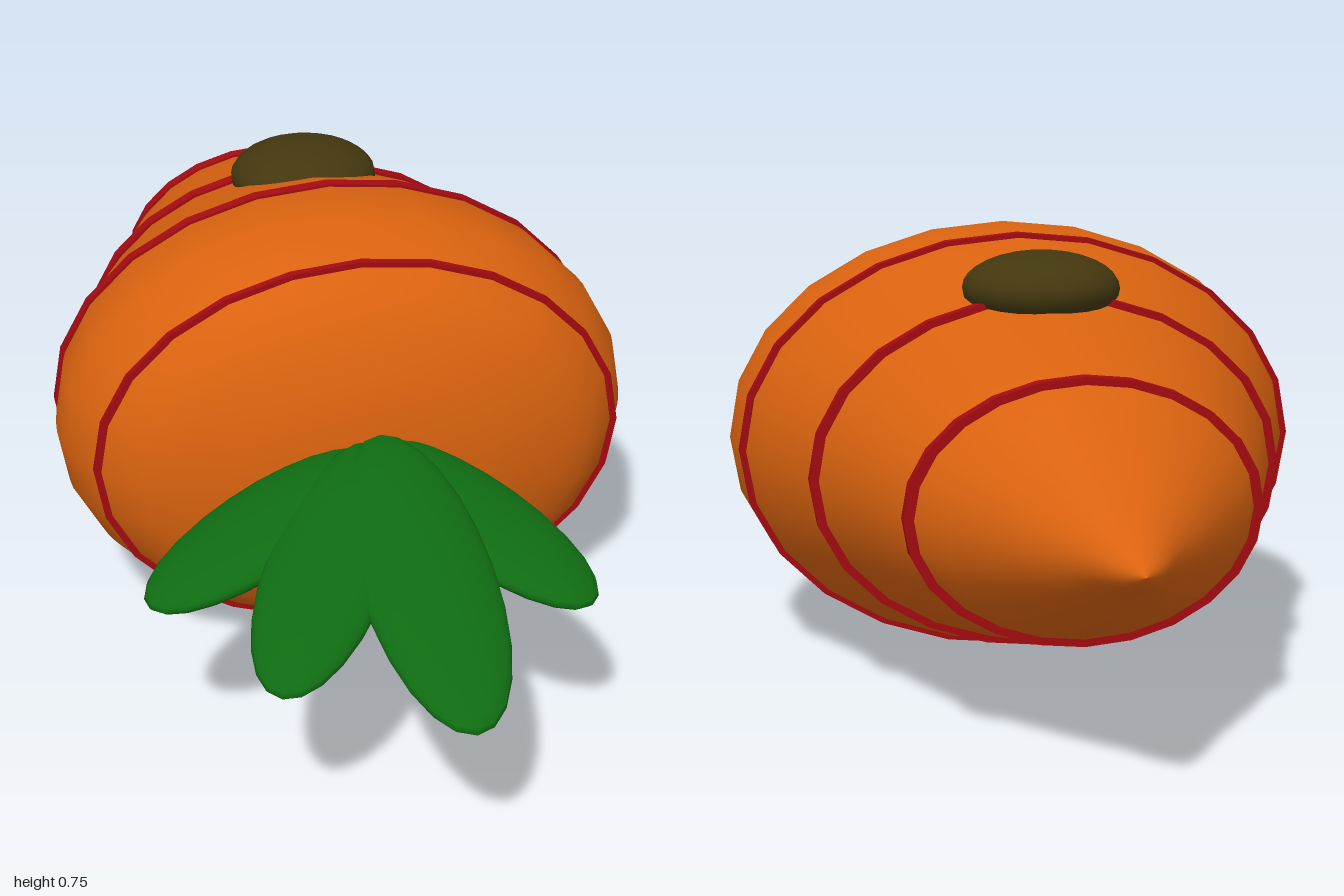
import * as THREE from 'three';

const SIDES = 24;
const CENTRE_Y = 0.377;
const SQUASH = 0.752; // body is wider than it is tall

function material(name, color) {
  const m = new THREE.MeshStandardMaterial({ color });
  m.name = name;
  return m;
}

// Lathe laid along z and flattened in y; points are (radius, z)
function squashedLathe(points) {
  const g = new THREE.LatheGeometry(points, SIDES);
  g.rotateX(Math.PI / 2);
  g.scale(1, SQUASH, 1);
  g.translate(0, CENTRE_Y, 0);
  return g;
}

export function createModel() {
  const model = new THREE.Group();
  model.name = 'carrot';
  const orange = material('carrot orange', 0xd9620f);
  const red = material('dark red', 0xa30b10);
  const green = material('leaf green', 0x0f6b12);
  const olive = material('dark olive', 0x43370f);

  function add(name, geometry, mat) {
    const mesh = new THREE.Mesh(geometry, mat);
    mesh.name = name;
    model.add(mesh);
    return mesh;
  }

  // Body: pointed tail at the back, blunt rounded crown at the front
  const outline = [
    [0, -1], [0.035, -0.965], [0.08, -0.89], [0.145, -0.8], [0.212, -0.7], [0.273, -0.6],
    [0.332, -0.45], [0.385, -0.3], [0.44, -0.16], [0.484, -0.04], [0.5, 0.08],
    [0.483, 0.16], [0.448, 0.228], [0.38, 0.297], [0.25, 0.346], [0.13, 0.368], [0, 0.378],
  ].map(([r, z]) => new THREE.Vector2(r, z));
  const profile = new THREE.SplineCurve(outline).getPoints(48);
  profile.forEach((p) => { p.x = Math.max(p.x, 0); });
  add('body', squashedLathe(profile), orange);

  // Thin rings around the body: [z, outer radius, width]
  [[0.228, 0.455, 0.014], [-0.04, 0.492, 0.022], [-0.3, 0.396, 0.024], [-0.6, 0.283, 0.024]]
    .forEach(([z, r, w], i) => {
      const h = w / 2;
      const inner = r - 0.03;
      const section = [[inner, -h], [r, -h], [r, -h], [r, h], [r, h], [inner, h]];
      add(`ring${i + 1}`, squashedLathe(section.map(([x, y]) => new THREE.Vector2(x, y + z))), red);
    });

  // Flattened dome on the back
  const hatch = add('topDome', new THREE.SphereGeometry(1, 24, 16), olive);
  hatch.scale.set(0.132, 0.062, 0.123);
  hatch.position.set(0, 0.678, -0.25);

  // Fan of drooping leaves: [x, z, yaw, half width, half length]
  [[0, 0.68, 0, 0.108, 0.32], [-0.135, 0.617, -27, 0.1, 0.28],
    [-0.213, 0.494, -62, 0.1, 0.235], [0.12, 0.54, 35, 0.1, 0.24]]
    .forEach(([x, z, yaw, w, l], i) => {
      const leaf = add(`leaf${i + 1}`, new THREE.SphereGeometry(1, 24, 16), green);
      leaf.scale.set(w, 0.033, l);
      leaf.rotation.set(THREE.MathUtils.degToRad(13.5), THREE.MathUtils.degToRad(yaw), 0, 'YXZ');
      leaf.position.set(x, 0.395, z);
    });

  return model;
}
